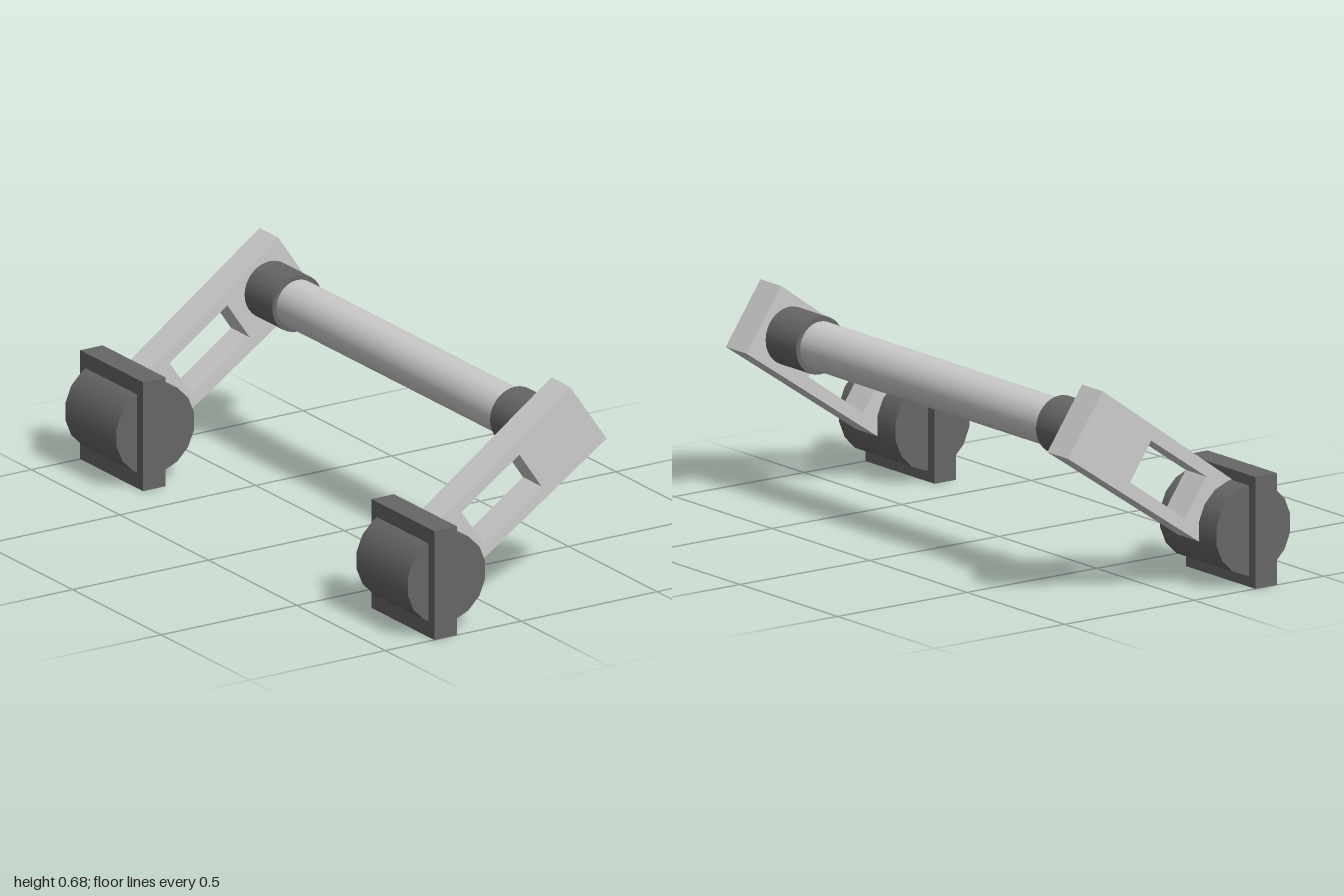
import * as THREE from 'three';

const light = new THREE.MeshStandardMaterial({ color: 0xcccccc });
const dark = new THREE.MeshStandardMaterial({ color: 0x666666 });

function add(parent, name, geometry, material, x, y, z) {
  const mesh = new THREE.Mesh(geometry, material);
  mesh.name = name;
  mesh.position.set(x, y, z);
  parent.add(mesh);
  return mesh;
}

// cylinder lying along z
function rodGeometry(radius, length, sides, turn = 0) {
  return new THREE.CylinderGeometry(radius, radius, length, sides).rotateY(turn).rotateX(Math.PI / 2);
}

const points = (list) => list.map(([x, y]) => new THREE.Vector2(x, y));

// sloping arm with a rectangular window
function armGeometry(depth) {
  const shape = new THREE.Shape(points([[-0.237, 0.325], [-0.111, 0.145], [0.394, 0.485], [0.26, 0.68]]));
  shape.holes.push(new THREE.Path(points([[-0.14, 0.347], [0.073, 0.494], [0.155, 0.374], [-0.057, 0.227]])));
  return new THREE.ExtrudeGeometry(shape, { depth, bevelEnabled: false }).translate(0, 0, -depth / 2);
}

export function createModel() {
  const model = new THREE.Group();
  model.name = 'handleBar';

  // long grip between the two arms
  add(model, 'grip', rodGeometry(0.077, 1.5, 32), light, 0.228, 0.517, 0);

  for (const [side, s] of [['front', 1], ['back', -1]]) {
    const end = new THREE.Group();
    end.name = side + 'End';
    model.add(end);

    // pivot drum and the square plate cutting through it
    add(end, 'pivotDrum', rodGeometry(0.1453, 0.289, 16, Math.PI / 16), dark, -0.2535, 0.1795, s * 0.8225);
    add(end, 'mountingPlate', new THREE.BoxGeometry(0.083, 0.356, 0.355), dark, -0.2785, 0.178, s * 0.8225);

    // arm and the collar holding the grip
    add(end, 'arm', armGeometry(0.106), light, 0, 0, s * 0.8245);
    add(end, 'collar', rodGeometry(0.092, 0.16, 32), dark, 0.228, 0.517, s * 0.695);
  }
  return model;
}
